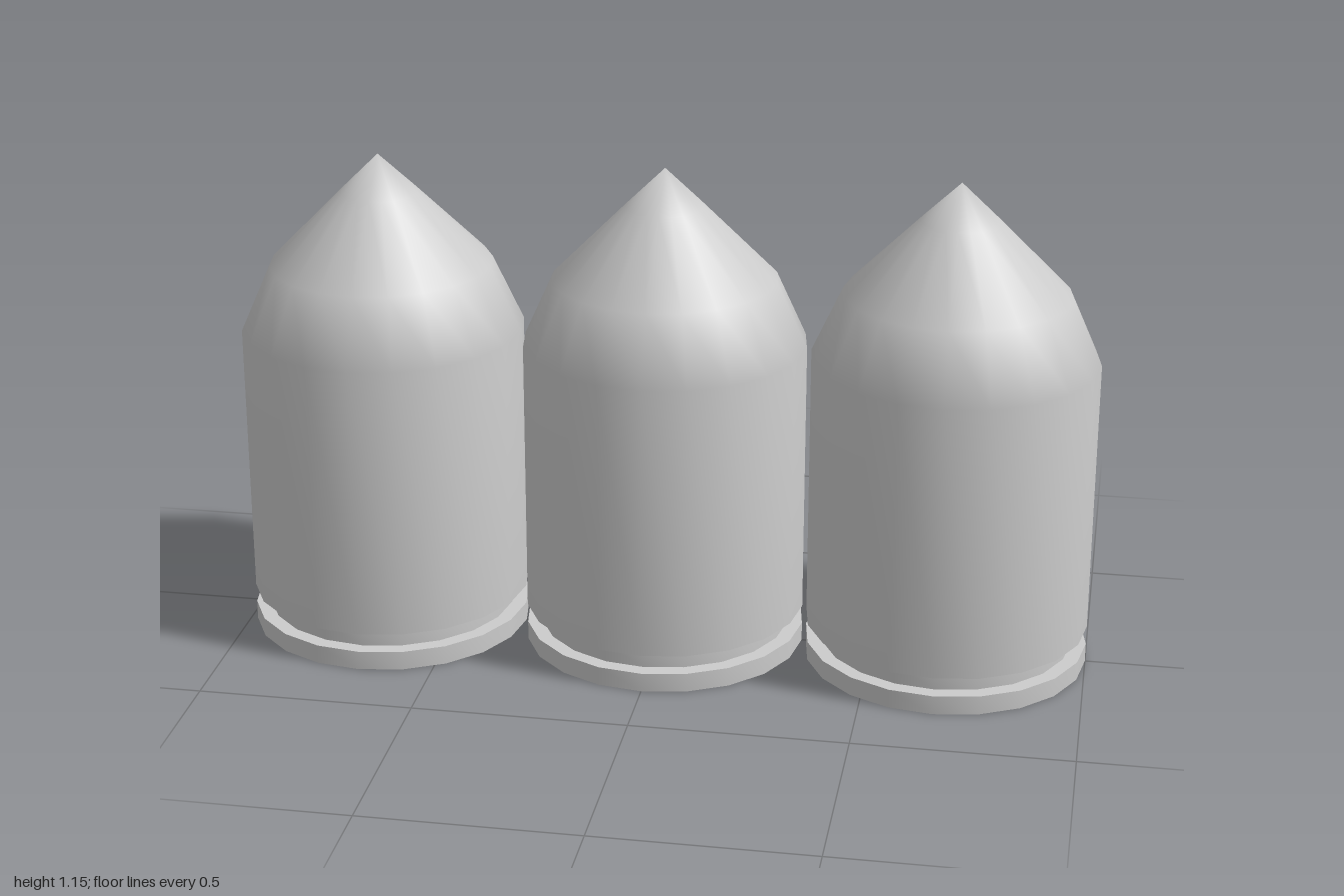
import * as THREE from 'three';
import { mergeVertices, toCreasedNormals } from 'three/addons/utils/BufferGeometryUtils.js';

const SIDES = 20;
const R = 0.33, GROOVE_R = 0.295;
const RIM_TOP = 0.045, BODY_BOTTOM = 0.09;

// Twenty-sided turned shape from [radius, height] pairs, listed bottom to top
function turned(profile) {
  const points = profile.map(([r, y]) => new THREE.Vector2(r, y));
  const geometry = new THREE.LatheGeometry(points, SIDES);
  geometry.deleteAttribute('uv');
  geometry.deleteAttribute('normal');
  return mergeVertices(geometry);
}

export function createModel() {
  const model = new THREE.Group();
  model.name = 'pointedCylinderRow';
  const material = new THREE.MeshStandardMaterial({ color: 0xcccccc });

  // Rim, groove and flat underside, with sharp edges
  const base = toCreasedNormals(turned([
    [0, 0], [R, 0], [R, RIM_TOP], [GROOVE_R, RIM_TOP],
    [GROOVE_R, BODY_BOTTOM], [R, BODY_BOTTOM],
  ]), Math.PI / 4);

  // Straight wall running smoothly into the two-stage nose and tip
  const shell = turned([
    [R, BODY_BOTTOM], [R, 0.74], [0.26, 0.895], [0.09, 1.067], [0, 1.155],
  ]);
  shell.computeVertexNormals();

  // Three identical pieces side by side
  ['right', 'middle', 'left'].forEach((side, i) => {
    const piece = new THREE.Group();
    piece.name = side + 'Piece';
    piece.position.x = (i - 1) * 0.67;
    const baseMesh = new THREE.Mesh(base, material);
    baseMesh.name = 'groovedBase';
    const shellMesh = new THREE.Mesh(shell, material);
    shellMesh.name = 'bodyAndNose';
    piece.add(baseMesh, shellMesh);
    model.add(piece);
  });
  return model;
}
